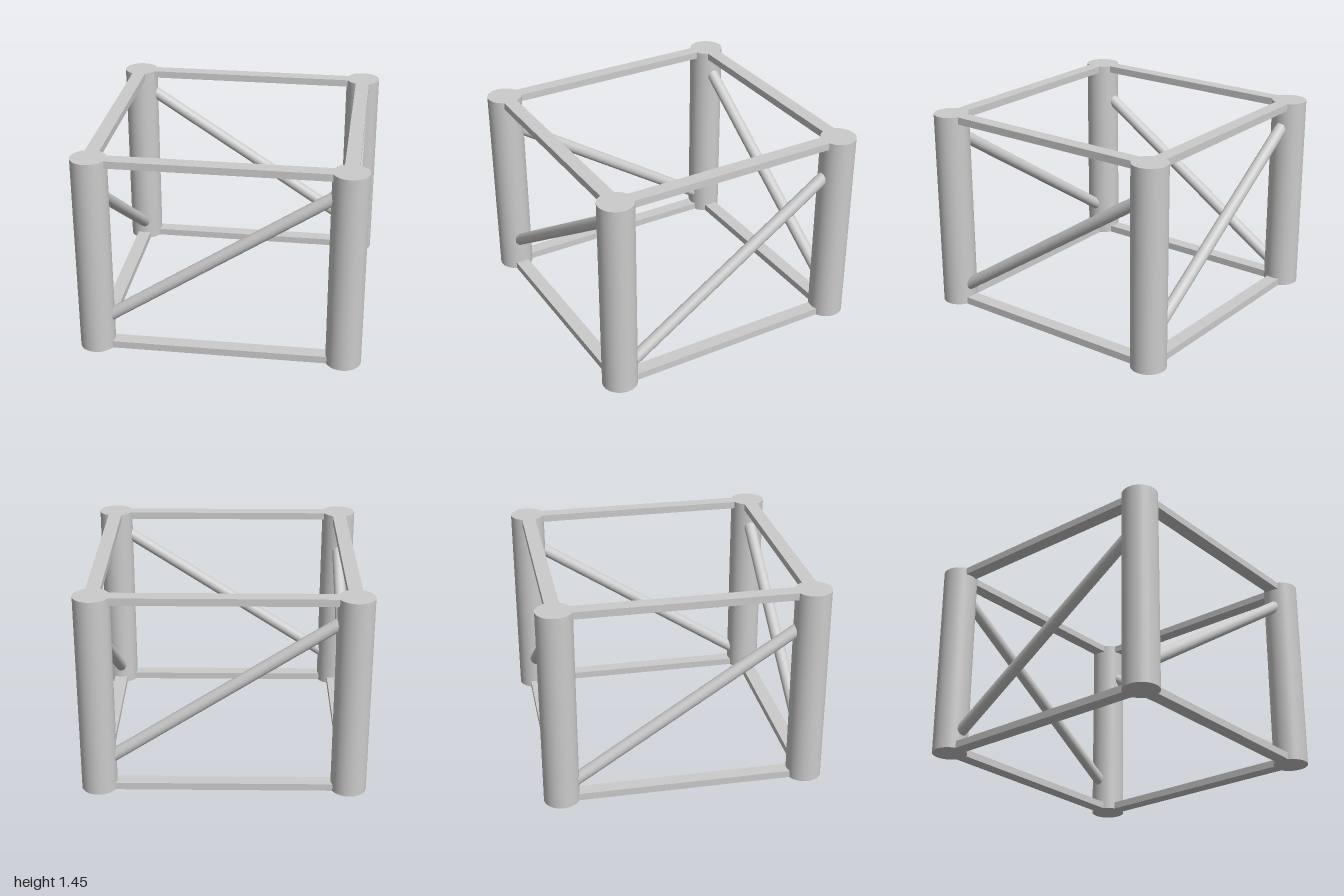
import * as THREE from 'three';

const HEIGHT = 1.453;   // overall height
const REACH = 0.875;    // distance from the centre to the post axes
const POST_R = 0.125;
const BEAM_W = 0.1, BEAM_H = 0.052;
const BRACE_R = 0.044;
const BRACE_SLOPE = 0.657;

export function createModel() {
  const model = new THREE.Group();
  const material = new THREE.MeshStandardMaterial({ color: 0xcccccc });

  const add = (parent, name, geometry, x, y, z) => {
    const mesh = new THREE.Mesh(geometry, material);
    mesh.name = name;
    mesh.position.set(x, y, z);
    parent.add(mesh);
    return mesh;
  };

  const postGeo = new THREE.CylinderGeometry(POST_R, POST_R, HEIGHT, 48);
  const beamGeo = new THREE.BoxGeometry(1.56, BEAM_H, BEAM_W);
  // The brace ends stay buried inside the posts
  const braceLength = 1.66 * Math.hypot(1, BRACE_SLOPE);
  const braceGeo = new THREE.CylinderGeometry(BRACE_R, BRACE_R, braceLength, 32);
  braceGeo.rotateZ(Math.atan(BRACE_SLOPE) - Math.PI / 2);

  // Corner posts
  for (const x of [-1, 1]) {
    for (const z of [-1, 1]) {
      const name = (z > 0 ? 'front' : 'back') + (x > 0 ? 'Left' : 'Right') + 'Post';
      add(model, name, postGeo, x * REACH, HEIGHT / 2, z * REACH);
    }
  }

  // Four sides: two beams and one diagonal, braces lower on the left and right
  ['front', 'left', 'back', 'right'].forEach((name, i) => {
    const side = new THREE.Group();
    side.name = name + 'Side';
    add(side, 'topBeam', beamGeo, 0, HEIGHT - BEAM_H / 2, REACH);
    add(side, 'bottomBeam', beamGeo, 0, BEAM_H / 2, REACH);
    add(side, 'diagonalBrace', braceGeo, 0, i % 2 ? 0.652 : 0.755, REACH);
    side.rotation.y = i * Math.PI / 2;
    model.add(side);
  });

  return model;
}
